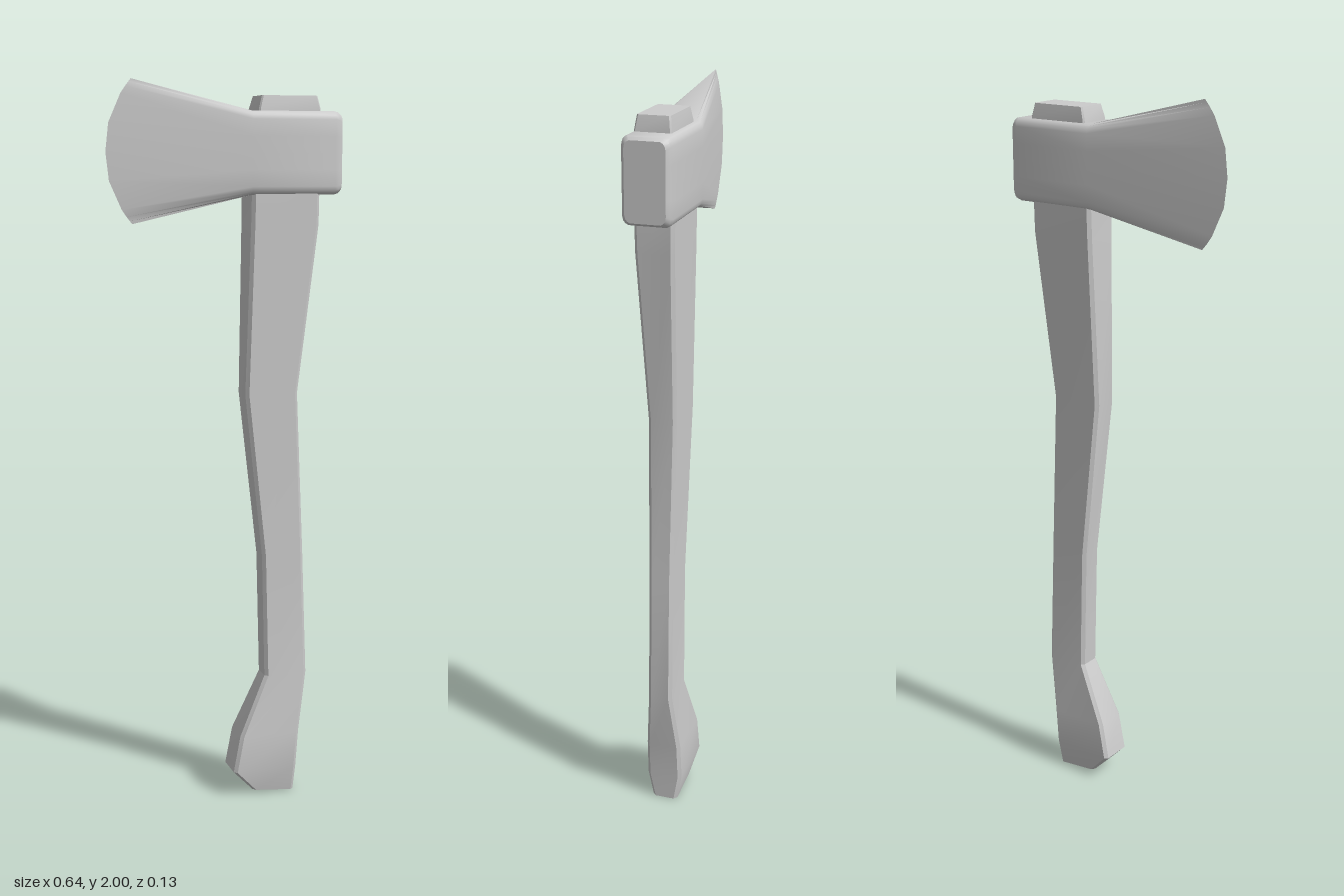
import * as THREE from 'three';
import { toCreasedNormals } from 'three/addons/utils/BufferGeometryUtils.js';

// Skin closed rings that run counter-clockwise about the loft direction, with capped ends
function loft(rings, crease) {
  const n = rings[0].length;
  const last = rings.length - 1;
  const positions = rings.flat(2);
  const index = [];
  for (let i = 0; i < last; i++) {
    for (let j = 0; j < n; j++) {
      const k = (j + 1) % n;
      const a = i * n + j, b = i * n + k, c = b + n, d = a + n;
      index.push(a, b, c, a, c, d);
    }
  }
  for (const end of [0, last]) {
    const centre = positions.length / 3;
    for (let axis = 0; axis < 3; axis++) {
      positions.push(rings[end].reduce((sum, p) => sum + p[axis], 0) / n);
    }
    for (let j = 0; j < n; j++) {
      const a = end * n + j, b = end * n + (j + 1) % n;
      index.push(centre, ...(end === 0 ? [b, a] : [a, b]));
    }
  }
  const geometry = new THREE.BufferGeometry();
  geometry.setAttribute('position', new THREE.Float32BufferAttribute(positions, 3));
  geometry.setIndex(index);
  return toCreasedNormals(geometry, crease);
}

// Horizontal rectangle with chamfered corners; its two ends may differ in height
function handleRing([yLow, yHigh, x0, x1, z], bevel) {
  const b = bevel;
  const outline = [
    [x0 + b, z], [x1 - b, z], [x1, z - b], [x1, b - z],
    [x1 - b, -z], [x0 + b, -z], [x0, b - z], [x0, z - b],
  ];
  return outline.map(([x, pz]) => [x, yLow + (yHigh - yLow) * (x - x0) / (x1 - x0), pz]);
}

// Rounded upright section of the head, given as [height fraction, thickness fraction]
const SIDE = [
  [1, 0.74], [0.96, 0.87], [0.9, 0.96], [0.8, 1], [0.4, 1], [0, 1],
  [-0.4, 1], [-0.8, 1], [-0.9, 0.96], [-0.96, 0.87], [-1, 0.74],
];
function headRing(xAt, midY, halfY, halfZ) {
  const half = (sign) => SIDE.map(([v, w]) => [xAt(v), midY + v * halfY, sign * w * halfZ]);
  return [...half(1), ...half(-1).reverse()];
}

export function createModel() {
  const group = new THREE.Group();
  const material = new THREE.MeshStandardMaterial({ color: 0xcccccc });
  const add = (name, geometry) => {
    const mesh = new THREE.Mesh(geometry, material);
    mesh.name = name;
    group.add(mesh);
  };

  // Curved handle with a flared foot: y at the blade side, y at the back, x range, half depth
  const handle = [
    [0.012, 0, 0.08, 0.203, 0.036],
    [0.075, 0.075, 0.02, 0.206, 0.05],
    [0.18, 0.18, 0.04, 0.214, 0.049],
    [0.35, 0.35, 0.116, 0.24, 0.034],
    [0.7, 0.7, 0.107, 0.227, 0.034],
    [1.16, 1.16, 0.055, 0.205, 0.039],
    [1.62, 1.62, 0.066, 0.258, 0.052],
    [1.74, 1.74, 0.068, 0.259, 0.054],
  ];
  add('handle', loft(handle.map((s) => handleRing(s, 0.009)), 0.35));

  // End of the handle showing through the top of the head
  const plug = [
    [1.85, 1.85, 0.086, 0.26, 0.048],
    [1.925, 1.925, 0.086, 0.26, 0.048],
    [1.96, 1.96, 0.096, 0.252, 0.043],
  ];
  add('handleTop', loft(plug.map((s) => handleRing(s, 0.004)), 0.35));

  // Axe head: curved cutting edge, wedge-shaped blade, then the block with a rounded back
  const edge = headRing((v) => -0.32 + 0.07 * Math.abs(v) ** 2.3, 1.8125, 0.1875, 0.001);
  const block = [
    [0.065, 0.11, 0.065],
    [0.298, 0.11, 0.065],
    [0.31, 0.107, 0.062],
    [0.32, 0.1, 0.053],
  ].map(([x, halfY, halfZ]) => headRing(() => x, 1.81, halfY, halfZ));
  add('axeHead', loft([edge, ...block], 0.65));

  return group;
}
